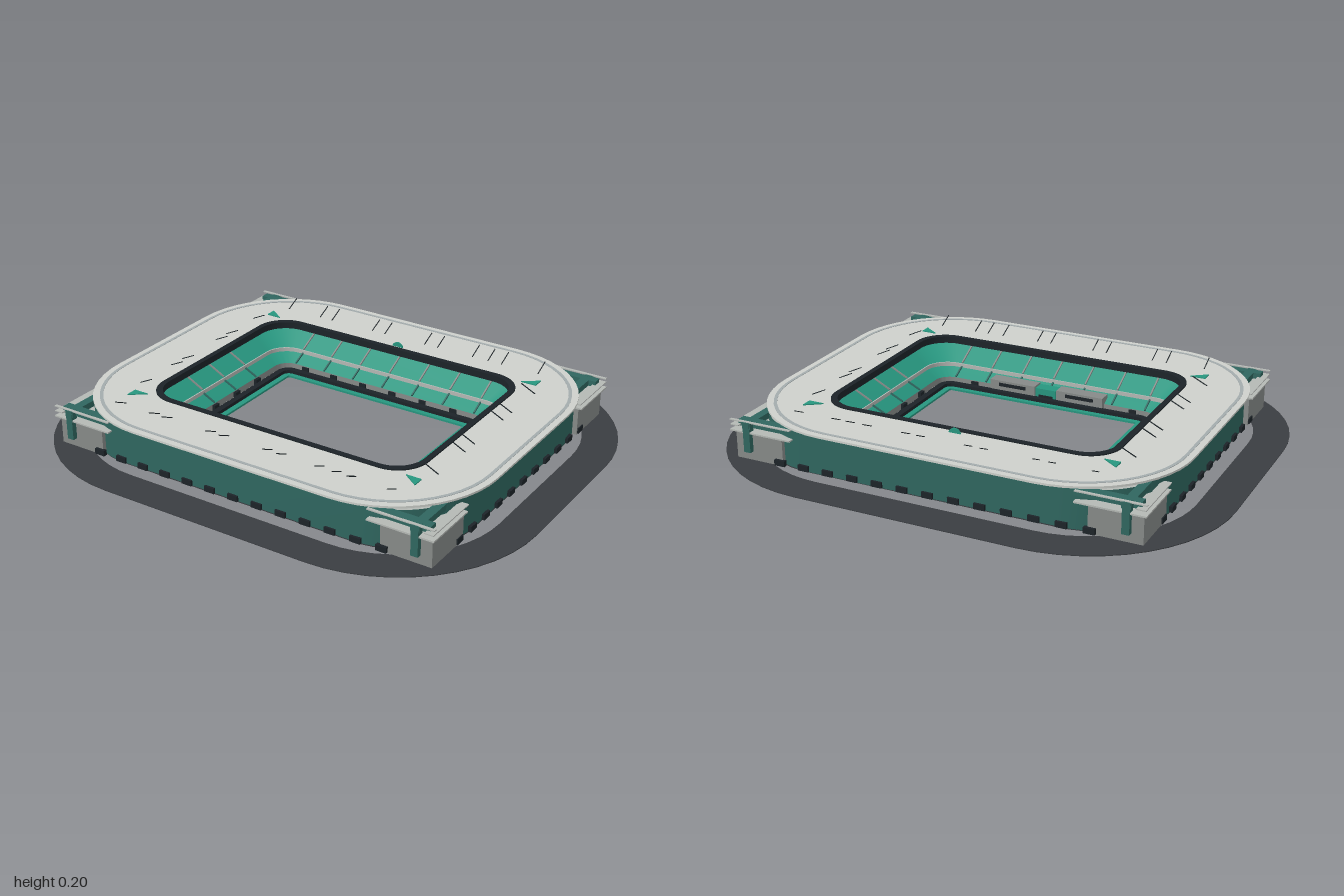
import * as THREE from 'three';
import { toCreasedNormals } from 'three/addons/utils/BufferGeometryUtils.js';

const mat = (color) => new THREE.MeshStandardMaterial({ color, side: THREE.DoubleSide });
const M = {
  ground: mat(0x3a3d41), roof: mat(0xcdd0cb), roofLine: mat(0xa3abad), wall: mat(0x2f665f),
  seat: mat(0x27967f), dark: mat(0x1c2328), grey: mat(0x868a88), plate: mat(0xb4b8b4), white: mat(0xf4f4f4),
};

// Outline of a rounded rectangle in the xz plane
function outline(hx, hz, r, n = 12) {
  const pts = [];
  [[1, 1], [-1, 1], [-1, -1], [1, -1]].forEach(([sx, sz], q) => {
    for (let i = 0; i <= n; i++) {
      const a = (q + i / n) * Math.PI / 2;
      pts.push([sx * (hx - r) + r * Math.cos(a), sz * (hz - r) + r * Math.sin(a)]);
    }
  });
  return pts;
}

// Skin through a list of rounded rectangles [halfX, halfZ, radius, y]
function loft(sections) {
  const pos = [], idx = [];
  const rings = sections.map(([hx, hz, r]) => outline(hx, hz, r));
  const n = rings[0].length;
  rings.forEach((ring, k) => ring.forEach(([x, z]) => pos.push(x, sections[k][3], z)));
  for (let k = 0; k < rings.length - 1; k++) {
    for (let i = 0; i < n; i++) {
      const j = (i + 1) % n, a = k * n + i, b = k * n + j, c = a + n, d = b + n;
      idx.push(a, c, b, b, c, d);
    }
  }
  const g = new THREE.BufferGeometry();
  g.setAttribute('position', new THREE.Float32BufferAttribute(pos, 3));
  g.setIndex(idx);
  return toCreasedNormals(g, 0.5);
}

// Flat band with thickness between an outer and an inner outline
const band = (o, i, y0, y1) => loft([[...o, y0], [...o, y1], [...i, y1], [...i, y0], [...o, y0]]);
// Outline of the seating bowl at distance o from the centre along x
const bowl = (o) => [o, o - 0.145, 0.05 + (o - 0.46) * 0.6];

export function createModel() {
  const model = new THREE.Group();
  const add = (name, geo, m, parent = model) => {
    const mesh = new THREE.Mesh(geo, m);
    mesh.name = name;
    parent.add(mesh);
    return mesh;
  };
  const group = (name) => {
    const g = new THREE.Group();
    g.name = name;
    model.add(g);
    return g;
  };
  const box = (name, w, h, d, x, y, z, m, parent) => {
    const b = add(name, new THREE.BoxGeometry(w, h, d), m, parent);
    b.position.set(x, y, z);
    return b;
  };
  // Thin bar between two points
  const bar = (name, a, b, t, m, parent) => {
    const p = new THREE.Vector3(...a), q = new THREE.Vector3(...b);
    const s = add(name, new THREE.BoxGeometry(t, t, p.distanceTo(q)), m, parent);
    s.position.copy(p).add(q).multiplyScalar(0.5);
    s.lookAt(q);
    return s;
  };

  // Ground: outer road and floor under the stands
  add('outerRoad', band([1, 0.855, 0.57], [0.86, 0.72, 0.43], 0, 0.003), M.ground);
  add('floor', band([0.8, 0.665, 0.3], bowl(0.58), 0.004, 0.008), M.ground);

  // Pitch surround
  add('pitchEdge', band([0.44, 0.3, 0.03], [0.412, 0.272, 0.01], 0.004, 0.012), M.seat);
  add('pitchBoards', band(bowl(0.462), [0.436, 0.293, 0.03], 0.004, 0.026), M.dark);
  add('walkway', band(bowl(0.482), bowl(0.462), 0.006, 0.01), M.white);

  // Seating bowl in two tiers
  add('bowlFrontWall', loft([[...bowl(0.482), 0.006], [...bowl(0.482), 0.036]]), M.grey);
  add('lowerTier', loft([[...bowl(0.482), 0.036], [...bowl(0.535), 0.062]]), M.seat);
  add('tierFascia', loft([[...bowl(0.535), 0.062], [...bowl(0.535), 0.078], [...bowl(0.54), 0.078]]), M.plate);
  add('upperTier', loft([[...bowl(0.54), 0.078], [...bowl(0.64), 0.13]]), M.seat);
  add('upperRim', loft([[...bowl(0.64), 0.13], [...bowl(0.65), 0.145], [...bowl(0.67), 0.145]]), M.plate);
  add('bowlUnderside', loft([[...bowl(0.482), 0.008], [...bowl(0.55), 0.05], [...bowl(0.58), 0.05], [...bowl(0.58), 0.006]]), M.ground);

  // Aisles and entrance doors along the four sides
  const aisles = group('aisles');
  const doors = group('doors');
  for (const s of [-1, 1]) {
    for (let i = -3; i <= 3; i++) {
      const x = i * 0.14;
      bar('aisle', [x, 0.04, s * 0.337], [x, 0.066, s * 0.39], 0.006, M.wall, aisles);
      bar('aisle', [x, 0.081, s * 0.395], [x, 0.132, s * 0.495], 0.006, M.grey, aisles);
      box('door', 0.03, 0.022, 0.008, x + 0.05, 0.022, s * 0.334, M.dark, doors);
    }
    for (let i = -1; i <= 1; i++) {
      const z = i * 0.14;
      bar('aisle', [s * 0.482, 0.04, z], [s * 0.535, 0.066, z], 0.006, M.wall, aisles);
      bar('aisle', [s * 0.54, 0.081, z], [s * 0.64, 0.132, z], 0.006, M.grey, aisles);
      box('door', 0.014, 0.022, 0.03, s * 0.476, 0.022, z, M.dark, doors);
    }
  }

  // Grey boxes in the front stand with a central green block
  const boxes = group('mainStandBoxes');
  for (const s of [-1, 1]) {
    box('standBox', 0.2, 0.056, 0.055, s * 0.148, 0.038, 0.342, M.grey, boxes);
    box('standBoxWindow', 0.12, 0.014, 0.004, s * 0.148, 0.05, 0.314, M.dark, boxes);
  }
  box('centreBlock', 0.09, 0.05, 0.05, 0, 0.036, 0.342, M.seat, boxes);
  box('centreDoor', 0.06, 0.026, 0.004, 0, 0.022, 0.316, M.dark, boxes);

  // Outer wall with a row of base blocks
  add('outerWall', loft([[0.8, 0.665, 0.3, 0.006], [0.8, 0.665, 0.3, 0.157]]), M.wall);
  const blocks = group('baseBlocks');
  for (const s of [-1, 1]) {
    for (let i = -6; i <= 6; i++) box('baseBlock', 0.043, 0.022, 0.016, i * 0.1025, 0.019, s * 0.666, M.dark, blocks);
    for (let i = -5; i <= 5; i++) box('baseBlock', 0.016, 0.022, 0.04, s * 0.803, 0.019, i * 0.0955, M.dark, blocks);
  }

  // Corner towers
  for (const sx of [-1, 1]) for (const sz of [-1, 1]) {
    const t = group('cornerTower');
    box('towerBody', 0.2, 0.107, 0.21, sx * 0.706, 0.058, sz * 0.557, M.grey, t);
    box('towerSlab', 0.26, 0.006, 0.23, sx * 0.69, 0.118, sz * 0.565, M.plate, t);
    box('towerBeamX', 0.25, 0.024, 0.035, sx * 0.67, 0.145, sz * 0.643, M.wall, t);
    box('towerBeamZ', 0.035, 0.024, 0.24, sx * 0.748, 0.145, sz * 0.56, M.wall, t);
    box('towerColumn', 0.028, 0.118, 0.028, sx * 0.748, 0.099, sz * 0.668, M.wall, t);
    box('towerPlate', 0.035, 0.004, 0.24, sx * 0.8, 0.14, sz * 0.56, M.plate, t);
    box('towerTopStrip', 0.26, 0.004, 0.012, sx * 0.69, 0.158, sz * 0.672, M.plate, t);
  }

  // Roof ring with a dark inner rim and an inset outer line
  const edge = [0.84, 0.7, 0.42];
  add('roof', band(edge, bowl(0.58), 0.166, 0.174), M.roof);
  add('roofInnerRim', band(bowl(0.588), bowl(0.566), 0.152, 0.179), M.dark);
  add('roofLine', band([0.816, 0.676, 0.4], [0.804, 0.664, 0.39], 0.173, 0.1755), M.roofLine);
  add('roofSupport', loft([[...bowl(0.67), 0.145], [...bowl(0.69), 0.167]]), M.grey);

  // Thin stays on the roof
  const stays = group('roofStays');
  for (const s of [-1, 1]) {
    for (const x of [-0.59, -0.43, -0.37, -0.17, -0.11, 0.08, 0.14, 0.3, 0.37, 0.43, 0.59])
      bar('roofStay', [x, 0.174, s * 0.535], [x, 0.203, s * 0.595], 0.003, M.dark, stays);
    for (const z of [-0.37, -0.18, -0.11, 0.11, 0.18, 0.37])
      bar('roofStay', [s * 0.66, 0.174, z], [s * 0.6, 0.203, z], 0.003, M.dark, stays);
  }

  // Green triangles at the roof's inner corners
  for (const sx of [-1, 1]) for (const sz of [-1, 1]) {
    const tri = new THREE.Shape([[0.568, 0.435], [0.63, 0.435], [0.568, 0.48]].map(
      ([x, z]) => new THREE.Vector2(sx * (1.198 - x), sz * z)));
    const m = add('roofTriangle', new THREE.ExtrudeGeometry(tri, { depth: 0.004, bevelEnabled: false }), M.seat);
    m.rotation.x = Math.PI / 2;
    m.position.y = 0.178;
  }

  // Round plaque above the rear inner rim
  const disc = add('roofDisc', new THREE.CylinderGeometry(0.025, 0.025, 0.006, 24), M.seat);
  disc.rotation.x = Math.PI / 2;
  disc.position.set(0, 0.168, -0.458);

  return model;
}
